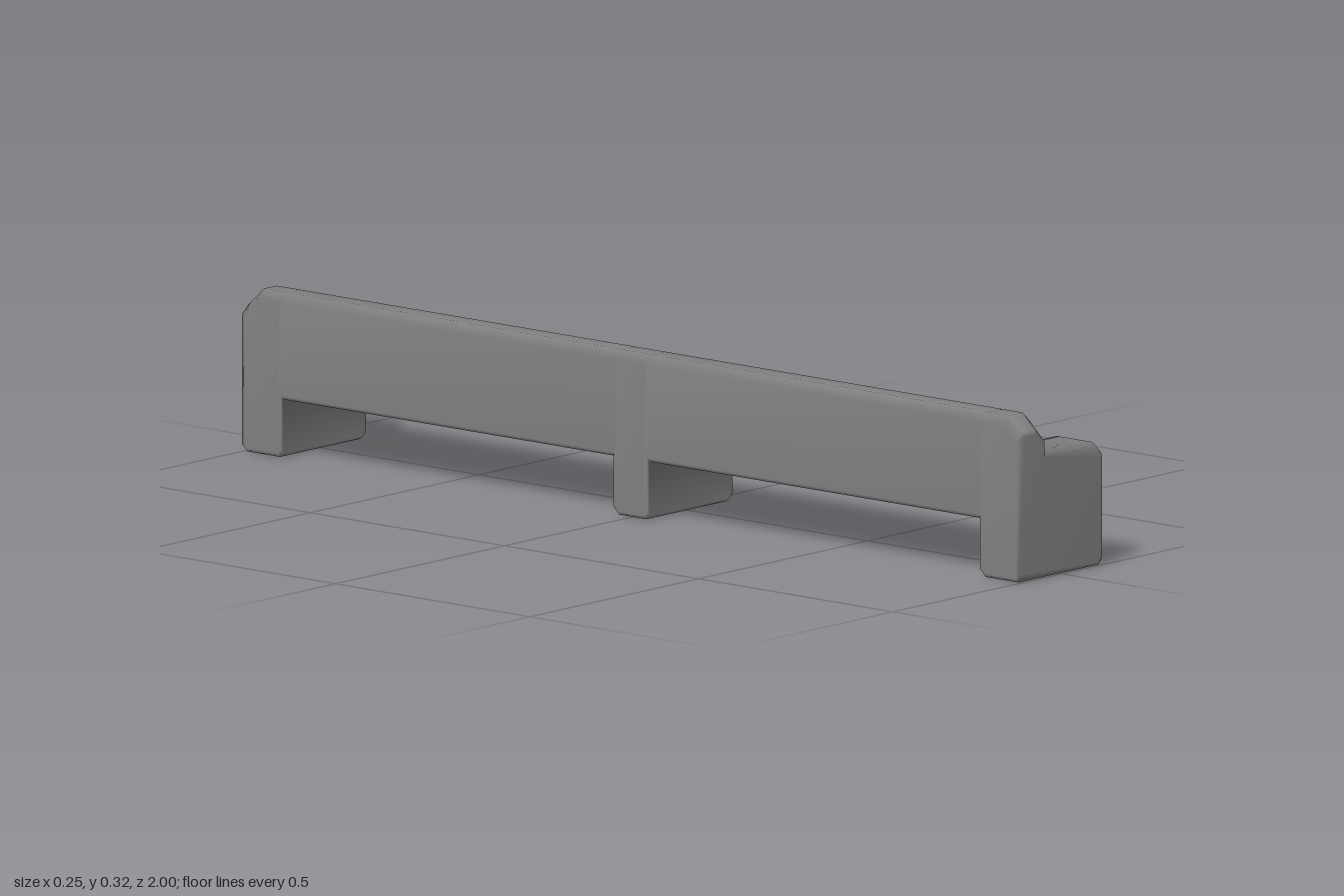
import * as THREE from 'three';
import { mergeVertices } from 'three/addons/utils/BufferGeometryUtils.js';

// Cross-section of the bench, counter-clockwise seen from the front:
// underside height, seat or arm height, backrest height, inset of the open side.
function profile(under, seat, top, inset = 0) {
  const front = 0.125 - inset;
  return [
    [-0.127, under + 0.008], [-0.12, under],
    [front - 0.007, under], [front, under + 0.008],
    [front, seat - 0.024], [front - 0.025, seat],
    [-0.052, seat], [-0.052, top - 0.017],
    [-0.07, top], [-0.108, top], [-0.127, top - 0.017],
  ];
}

// Stations along the length; two at the same z make an upright wall.
const half = [
  [1, profile(0.008, 0.238, 0.288, 0.006)],
  [0.992, profile(0, 0.245, 0.295)],
  [0.96, profile(0, 0.245, 0.325)],
  [0.908, profile(0, 0.245, 0.325)],
  [0.9, profile(0.008, 0.245, 0.325)],
  [0.9, profile(0.115, 0.185, 0.325)],
  [0.043, profile(0.115, 0.185, 0.325)],
  [0.043, profile(0.008, 0.185, 0.325)],
  [0.035, profile(0, 0.185, 0.325)],
];
const stations = [...half, ...half.slice().reverse().map(([z, p]) => [-z, p])];

// Named lengths of the bench: first and last strip between stations.
const parts = [
  ['frontArmAndLeg', 0, 4],
  ['frontSeatAndBackrest', 5, 5],
  ['middleSeatAndLeg', 6, 10],
  ['rearSeatAndBackrest', 11, 11],
  ['rearArmAndLeg', 12, 16],
];

export function createModel() {
  const group = new THREE.Group();
  group.name = 'bench';
  const upholstery = new THREE.MeshStandardMaterial({ color: 0x808080 });
  upholstery.name = 'grey upholstery';

  const n = half[0][1].length;
  const positions = stations.flatMap(([z, p]) => p.flatMap(([x, y]) => [x, y, z]));
  const index = [];
  const ranges = [];
  const endFaces = THREE.ShapeUtils.triangulateShape(
    half[0][1].map(([x, y]) => new THREE.Vector2(x, y)), []);
  const last = stations.length - 1;

  for (const [name, from, to] of parts) {
    const start = index.length;
    // Front end face
    if (from === 0) for (const [a, b, c] of endFaces) index.push(a, b, c);
    // Skin between stations
    for (let s = from; s <= to; s++) {
      for (let i = 0; i < n; i++) {
        const j = (i + 1) % n;
        const a = s * n + i, b = s * n + j, c = b + n, d = a + n;
        index.push(a, c, b, a, d, c);
      }
    }
    // Rear end face
    if (to === last - 1) {
      for (const [a, b, c] of endFaces) index.push(last * n + a, last * n + c, last * n + b);
    }
    ranges.push([name, start, index.length]);
  }

  // Weld the whole skin so that the shading flows across the parts
  let skin = new THREE.BufferGeometry();
  skin.setAttribute('position', new THREE.Float32BufferAttribute(positions, 3));
  skin.setIndex(index);
  skin = mergeVertices(skin, 1e-5);
  skin.computeVertexNormals();
  const welded = Array.from(skin.index.array);

  for (const [name, start, end] of ranges) {
    const geometry = new THREE.BufferGeometry();
    geometry.setAttribute('position', skin.attributes.position);
    geometry.setAttribute('normal', skin.attributes.normal);
    geometry.setIndex(welded.slice(start, end));
    const mesh = new THREE.Mesh(geometry, upholstery);
    mesh.name = name;
    group.add(mesh);
  }
  return group;
}
